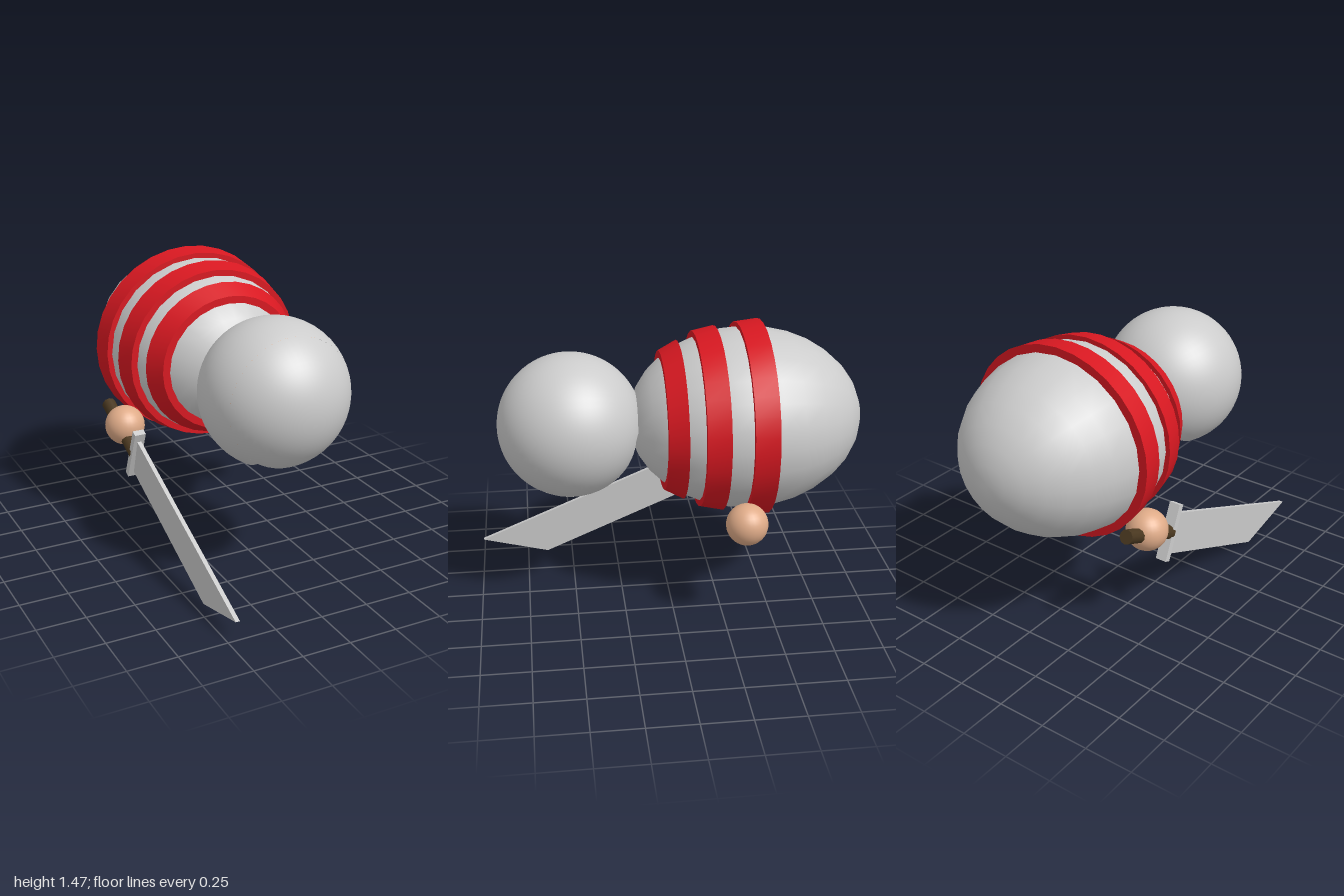
import * as THREE from 'three';
import { toCreasedNormals } from 'three/addons/utils/BufferGeometryUtils.js';
import { ParametricGeometry } from 'three/addons/geometries/ParametricGeometry.js';

const mat = (color, extra = {}) => new THREE.MeshStandardMaterial({ color, ...extra });
const grey = mat(0xcccccc);
const greyOpen = mat(0xcccccc, { side: THREE.DoubleSide });
const red = mat(0xd81821);
const skin = mat(0xdfab88);
const brown = mat(0x4a3820);

const MID_Y = 0.975; // height of the body and head axis

function add(parent, name, geometry, material, x = 0, y = 0, z = 0) {
  const mesh = new THREE.Mesh(geometry, material);
  mesh.name = name;
  mesh.position.set(x, y, z);
  parent.add(mesh);
  return mesh;
}

// Hood: a sphere with a box-shaped notch on its underside, open behind the brow
function createHood() {
  const hood = new THREE.Group();
  hood.name = 'hood';
  const R = 0.37, half = 0.18, brow = 0.174;
  const browAngle = Math.acos(brow / R), browRadius = Math.sqrt(R * R - brow * brow);

  const front = new THREE.SphereGeometry(R, 48, 14, 0, Math.PI * 2, 0, browAngle).rotateX(Math.PI / 2);
  add(hood, 'hoodFront', front, greyOpen);
  add(hood, 'brow', new THREE.CircleGeometry(browRadius, 48).rotateY(Math.PI), greyOpen, 0, 0, brow);

  // Rear shell stops at the notch sides
  const rear = new ParametricGeometry((u, v, target) => {
    const polar = browAngle + u * (Math.PI - browAngle - 0.001);
    const r = R * Math.sin(polar);
    const start = Math.asin(Math.min(1, half / r));
    const a = start + v * (2 * Math.PI - 2 * start);
    target.set(r * Math.sin(a), -r * Math.cos(a), R * Math.cos(polar));
  }, 28, 44);
  add(hood, 'hoodRear', rear, greyOpen);

  // Flat sides of the notch
  const wallR = Math.sqrt(R * R - half * half);
  const drop = -Math.sqrt(wallR * wallR - brow * brow);
  const wall = new THREE.Shape();
  wall.moveTo(brow, 0);
  wall.lineTo(brow, drop);
  wall.absarc(0, 0, wallR, Math.atan2(drop, brow), -Math.PI, true);
  wall.closePath();
  for (const s of [-1, 1]) {
    const side = new THREE.ShapeGeometry(wall, 24).rotateY(-Math.PI / 2);
    add(hood, s > 0 ? 'leftHoodEdge' : 'rightHoodEdge', side, greyOpen, s * half);
  }
  return hood;
}

// Solid ring around the body, tapering towards the front
function createStripe(back, front, backRadius, frontRadius) {
  const profile = [[0.28, back], [backRadius, back], [frontRadius, front], [0.28, front]]
    .map(([r, z]) => new THREE.Vector2(r, z));
  const ring = new THREE.LatheGeometry(profile, 32).rotateX(Math.PI / 2).scale(1.055, 1, 1);
  return toCreasedNormals(ring, 0.6);
}

// Blade: thick along the spine, pinched to a cutting edge below
function createBlade() {
  const spine = [[1, 0.1], [-0.14, 0.575]];
  const edge = [[-0.225, 0.37], [0.64, 0.002]];
  const shape = new THREE.Shape([...spine, ...edge].map(([z, y]) => new THREE.Vector2(z, y)));
  const thick = 0.022;
  const geo = new THREE.ExtrudeGeometry(shape, { depth: thick, bevelEnabled: false });
  geo.translate(0, 0, -thick / 2).rotateY(-Math.PI / 2);
  const p = geo.attributes.position;
  for (let i = 0; i < p.count; i++) {
    const onEdge = edge.some(([z, y]) => Math.hypot(p.getZ(i) - z, p.getY(i) - y) < 0.001);
    if (onEdge) p.setX(i, p.getX(i) * 0.1);
  }
  geo.computeVertexNormals();
  return geo;
}

function createKnife() {
  const knife = new THREE.Group();
  knife.name = 'knife';
  knife.position.x = -0.45;
  const tilt = Math.atan2(0.385, 0.923);
  add(knife, 'blade', createBlade(), grey);
  const guard = add(knife, 'guard', new THREE.BoxGeometry(0.06, 0.3, 0.035), grey, 0, 0.48, -0.172);
  guard.rotation.x = tilt;
  const grip = new THREE.CylinderGeometry(0.037, 0.037, 0.4, 10).rotateX(Math.PI / 2);
  const handle = add(knife, 'handle', toCreasedNormals(grip, 0.8), brown, 0, 0.557, -0.357);
  handle.rotation.x = tilt;
  return knife;
}

export function createModel() {
  const model = new THREE.Group();
  model.name = 'stripedFigure';

  // Egg-shaped body lying along z
  const body = new THREE.SphereGeometry(1, 24, 16).rotateX(Math.PI / 2).scale(0.49, 0.465, 0.6);
  add(model, 'body', body, grey, 0, MID_Y, -0.4);

  // Stripes: back z, front z, back radius, front radius
  const stripes = [
    [-0.485, -0.365, 0.5, 0.487],
    [-0.255, -0.14, 0.472, 0.448],
    [-0.06, 0.035, 0.405, 0.355],
  ];
  stripes.forEach((s, i) => add(model, `stripe${i + 1}`, createStripe(...s), red, 0, MID_Y, 0));

  // Head inside its hood, face turned down
  const head = new THREE.Group();
  head.name = 'head';
  head.position.set(0, MID_Y, 0.5);
  add(head, 'face', new THREE.SphereGeometry(0.33, 36, 24), skin);
  head.add(createHood());
  model.add(head);

  // Hands
  for (const s of [-1, 1]) {
    add(model, s > 0 ? 'leftHand' : 'rightHand', new THREE.SphereGeometry(0.106, 28, 18), skin,
      s * 0.435, 0.575, -0.348);
  }

  model.add(createKnife());
  return model;
}
